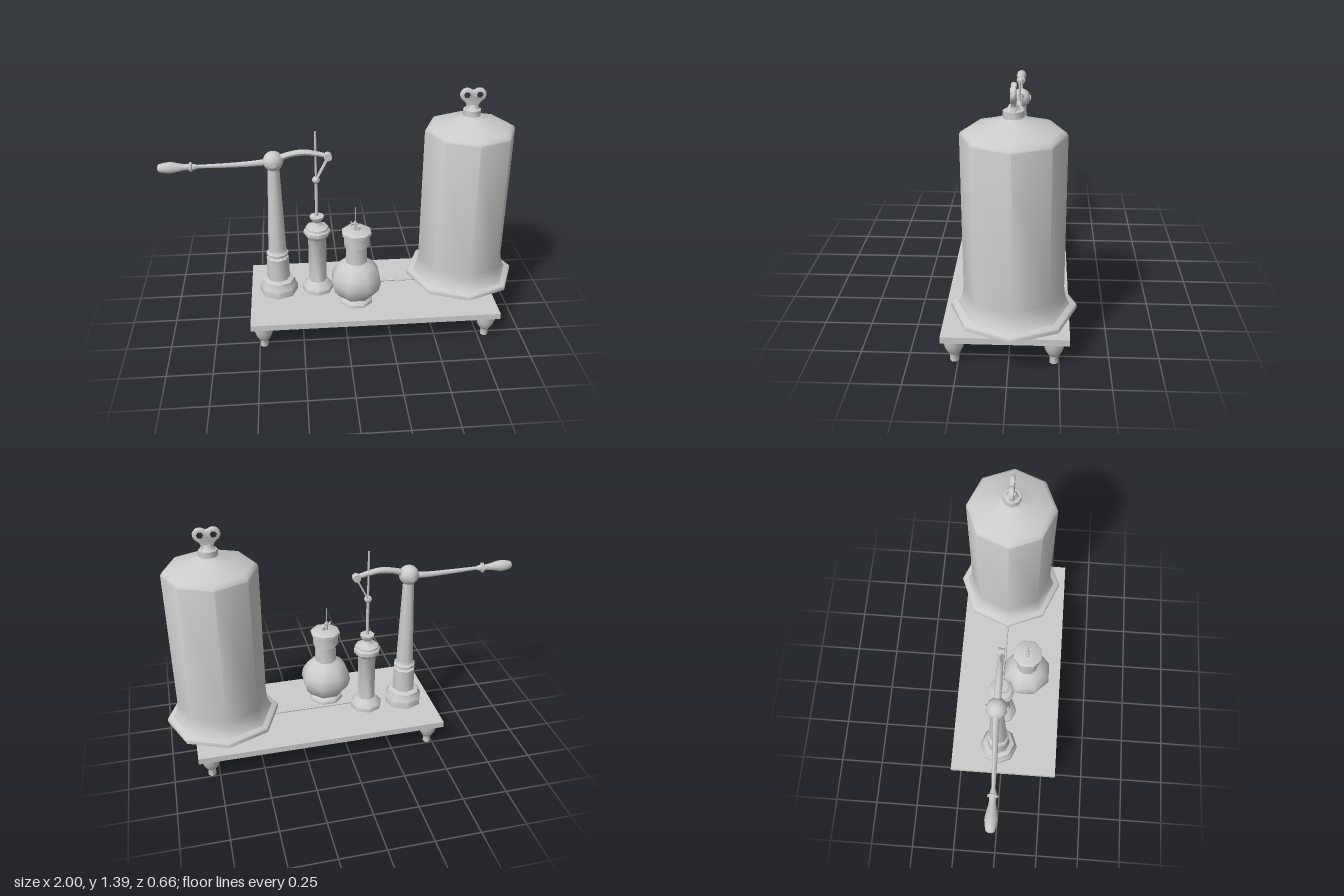
import * as THREE from 'three';
import { toCreasedNormals } from 'three/addons/utils/BufferGeometryUtils.js';

const material = new THREE.MeshStandardMaterial({ color: 0xcccccc });

function add(parent, name, geometry, x = 0, y = 0, z = 0) {
  const mesh = new THREE.Mesh(geometry, material);
  mesh.name = name;
  mesh.position.set(x, y, z);
  parent.add(mesh);
  return mesh;
}

// Turned part: profile of [radius, height] from bottom to top, smooth around, sharp at corners
function turned(profile, sides = 8, phase = 0) {
  const points = profile.map(([r, y]) => new THREE.Vector2(r, y));
  return toCreasedNormals(new THREE.LatheGeometry(points, sides, phase), 0.9);
}

// Round bar along a curve, its radius running through the given values
function bar(points, radii, steps = 12, sides = 8) {
  const curve = new THREE.CatmullRomCurve3(points.map(p => new THREE.Vector3(...p)));
  const geometry = new THREE.TubeGeometry(curve, steps, 1, sides);
  const { position, uv } = geometry.attributes;
  const v = new THREE.Vector3();
  for (let i = 0; i < position.count; i++) {
    const t = uv.getX(i), s = t * (radii.length - 1), k = Math.min(Math.floor(s), radii.length - 2);
    const centre = curve.getPointAt(t);
    const r = THREE.MathUtils.lerp(radii[k], radii[k + 1], s - k);
    v.fromBufferAttribute(position, i).sub(centre).multiplyScalar(r).add(centre);
    position.setXYZ(i, v.x, v.y, v.z);
  }
  geometry.computeVertexNormals();
  return geometry;
}

// Thin straight rod between two points
function rod(parent, name, a, b, r, sides = 8) {
  const from = new THREE.Vector3(...a), to = new THREE.Vector3(...b);
  const d = to.clone().sub(from);
  const mesh = add(parent, name, new THREE.CylinderGeometry(r, r, d.length(), sides));
  mesh.position.copy(from).add(to).multiplyScalar(0.5);
  mesh.quaternion.setFromUnitVectors(new THREE.Vector3(0, 1, 0), d.normalize());
  return mesh;
}

function part(parent, name, x, z) {
  const group = new THREE.Group();
  group.name = name;
  group.position.set(x, 0, z);
  parent.add(group);
  return group;
}

export function createModel() {
  const model = new THREE.Group();
  model.name = 'vacuumPump';
  const Z = -0.022;

  // Board on four turned feet
  add(model, 'board', new THREE.BoxGeometry(1.405, 0.035, 0.63), 0.158, 0.157, 0.015);
  const foot = turned([[0, 0], [0.022, 0], [0.021, 0.04], [0.03, 0.048], [0.045, 0.075],
    [0.054, 0.105], [0.058, 0.14], [0, 0.14]], 12);
  for (const x of [-0.475, 0.792]) for (const z of [0.27, -0.225]) add(model, 'foot', foot, x, 0, z);

  // Bell jar on its plate
  const jar = part(model, 'bellJar', 0.688, Z);
  add(jar, 'plate', turned([[0, 0.24], [0.302, 0.24], [0.312, 0.247], [0.312, 0.268],
    [0.304, 0.275], [0, 0.275]]));
  add(jar, 'glass', turned([[0.276, 0.275], [0.262, 0.298], [0.252, 0.33], [0.248, 0.37], [0.248, 1.155],
    [0.24, 1.168], [0.222, 1.178], [0.13, 1.208], [0.075, 1.228], [0.05, 1.24], [0.049, 1.272], [0, 1.274]]));

  // Wing-shaped knob with two holes
  const wing = new THREE.Shape();
  wing.moveTo(-0.036, 1.265);
  wing.splineThru([[-0.026, 1.29], [-0.036, 1.315], [-0.058, 1.335], [-0.064, 1.358], [-0.05, 1.379],
    [-0.026, 1.383], [0, 1.371], [0.026, 1.383], [0.05, 1.379], [0.064, 1.358], [0.058, 1.335],
    [0.036, 1.315], [0.026, 1.29], [0.036, 1.265]].map(p => new THREE.Vector2(...p)));
  for (const x of [-0.034, 0.034]) {
    const hole = new THREE.Path();
    hole.absarc(x, 1.354, 0.018, 0, Math.PI * 2, true);
    wing.holes.push(hole);
  }
  const wingGeometry = new THREE.ExtrudeGeometry(wing, {
    depth: 0.01, bevelThickness: 0.008, bevelSize: 0.006, bevelSegments: 2, curveSegments: 3,
  });
  add(jar, 'knob', toCreasedNormals(wingGeometry, 0.9), 0, 0, -0.005);
  add(jar, 'knobCollar', turned([[0.038, 1.272], [0.028, 1.282], [0.02, 1.298], [0, 1.3]]));

  // Lever column
  const column = part(model, 'leverColumn', -0.383, Z);
  add(column, 'columnBase', turned([[0, 0.175], [0.11, 0.175], [0.11, 0.215], [0.1, 0.232],
    [0.093, 0.258], [0.066, 0.268], [0.064, 0.405], [0.052, 0.412], [0.052, 0.42]]));
  add(column, 'columnShaft', turned([[0.05, 0.415], [0.064, 0.422], [0.064, 0.437], [0.053, 0.445],
    [0.051, 0.47], [0.033, 0.95], [0.03, 0.98], [0, 0.98]]));
  add(column, 'pivotBall', new THREE.SphereGeometry(0.056, 14, 10), 0, 1.007, 0);
  rod(column, 'pivotPin', [0, 1.007, -0.06], [0, 1.007, 0.06], 0.016, 10);

  // Lever with turned grip
  const lever = part(model, 'lever', 0, 0);
  add(lever, 'longArm', bar([[-0.8, 0.996, -0.008], [-0.6, 0.995, -0.015], [-0.47, 0.998, Z], [-0.38, 1.008, Z]],
    [0.01, 0.013, 0.016, 0.02]));
  add(lever, 'shortArm', bar([[-0.37, 1.008, Z], [-0.325, 1.033, Z], [-0.225, 1.052, Z], [-0.15, 1.042, Z],
    [-0.082, 1.025, Z]], [0.02, 0.018, 0.018, 0.016, 0.013], 16));
  const grip = add(lever, 'grip', turned([[0, 0], [0.012, 0], [0.018, 0.02], [0.018, 0.026], [0.029, 0.03],
    [0.029, 0.038], [0.018, 0.044], [0.017, 0.062], [0.02, 0.08], [0.031, 0.13], [0.033, 0.15],
    [0.029, 0.178], [0.022, 0.204], [0.01, 0.211], [0, 0.212]]), -0.788, 0.995, -0.008);
  grip.rotation.z = Math.PI / 2;
  const joint = add(lever, 'endJoint', new THREE.CylinderGeometry(0.022, 0.022, 0.036, 10), -0.086, 1.023, Z);
  joint.rotation.x = Math.PI / 2;

  // Pump cylinder, piston rod and connecting links
  const pump = part(model, 'pumpCylinder', -0.153, Z);
  add(pump, 'cylinder', turned([[0, 0.175], [0.091, 0.175], [0.091, 0.2], [0.075, 0.217], [0.06, 0.235],
    [0.052, 0.24], [0.052, 0.52], [0.063, 0.53], [0.066, 0.542], [0.077, 0.55], [0.077, 0.57],
    [0.067, 0.577], [0.066, 0.59], [0.03, 0.602], [0.02, 0.622], [0.04, 0.645], [0.042, 0.66],
    [0.015, 0.662], [0, 0.662]]));
  rod(pump, 'pistonRod', [0, 0.65, 0], [0, 0.885, 0], 0.009);
  rod(pump, 'guideRod', [0, 0.885, 0], [0, 1.17, 0], 0.006);
  add(pump, 'crosshead', new THREE.SphereGeometry(0.022, 10, 8), 0, 0.885, 0);
  for (const z of [-0.014, 0.014]) rod(pump, 'link', [0, 0.885, z], [0.069, 1.02, z], 0.005);

  // Flask, with flat sides facing the front
  const flask = part(model, 'flask', 0.06, 0.118);
  add(flask, 'flaskBody', turned([[0, 0.175], [0.098, 0.175], [0.098, 0.19], [0.09, 0.2], [0.078, 0.21],
    [0.105, 0.228], [0.135, 0.265], [0.147, 0.315], [0.138, 0.362], [0.11, 0.407], [0.08, 0.43], [0.063, 0.442],
    [0.061, 0.545], [0, 0.545]], 8, Math.PI / 8));
  add(flask, 'flaskCap', turned([[0.061, 0.545], [0.074, 0.548], [0.074, 0.61], [0.086, 0.614],
    [0.086, 0.63], [0.076, 0.637], [0, 0.639]], 8, Math.PI / 8));

  // Small tap on the cap
  rod(flask, 'tapStem', [-0.008, 0.63, 0], [-0.008, 0.69, 0], 0.008);
  rod(flask, 'tapNeedle', [-0.008, 0.69, 0], [-0.008, 0.778, 0], 0.003, 6);
  rod(flask, 'tapPlug', [-0.03, 0.678, 0], [0.004, 0.678, 0], 0.007);
  rod(flask, 'tapHandle', [-0.03, 0.666, 0], [-0.03, 0.69, 0], 0.004, 6);
  rod(flask, 'capScrew', [0.012, 0.632, 0], [0.012, 0.66, 0], 0.01);

  // Pipe from the pump to the jar plate
  rod(model, 'pipe', [-0.1, 0.203, Z], [0.686, 0.203, Z], 0.006);
  rod(model, 'pipeRiser', [0.682, 0.197, Z], [0.682, 0.245, Z], 0.006);

  return model;
}
